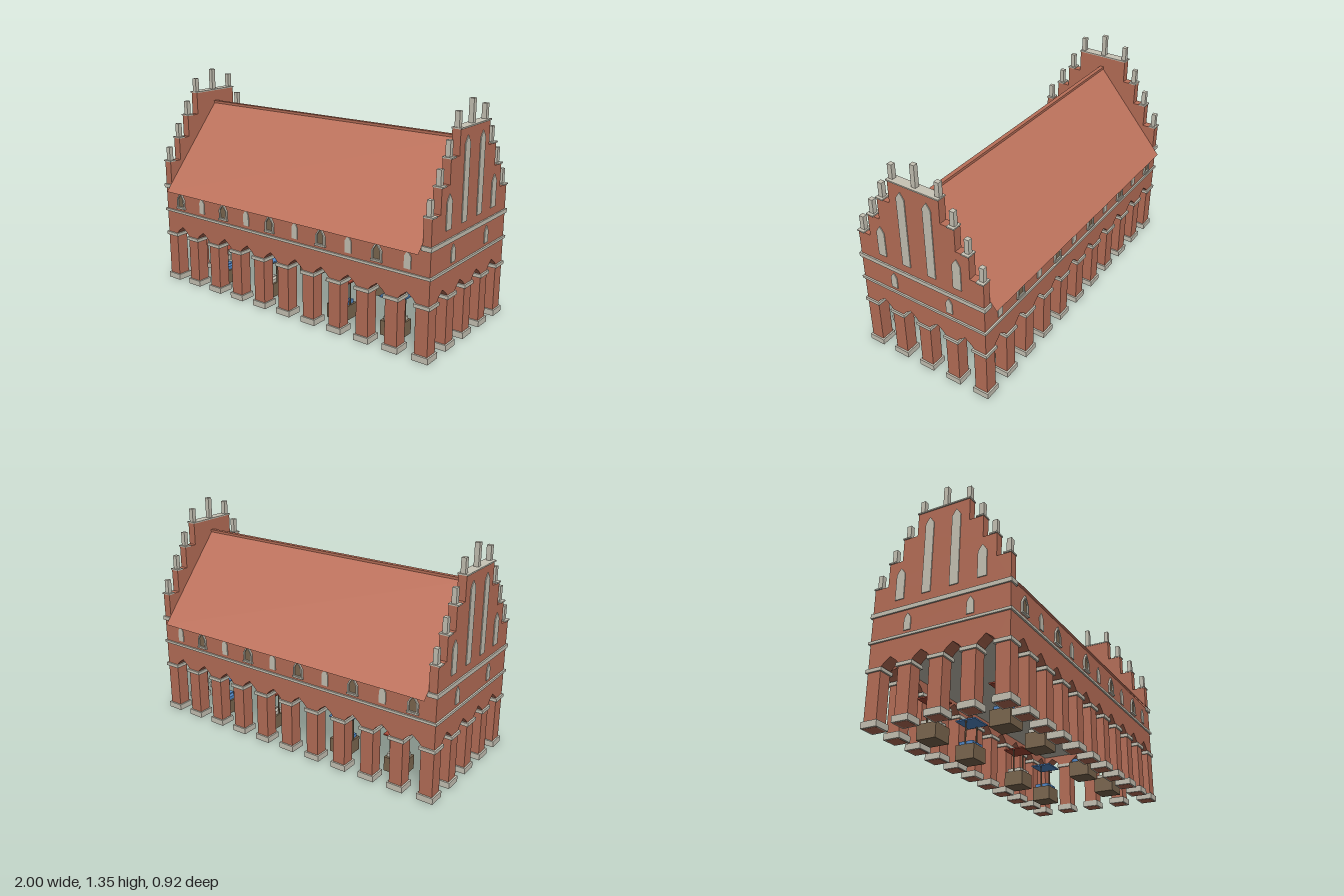
import * as THREE from 'three';

const mat = (name, color, side = THREE.FrontSide) => {
  const m = new THREE.MeshStandardMaterial({ color, side });
  m.name = name;
  return m;
};

export function createModel() {
  const brick = mat('brick', 0xb86f58);
  const tile = mat('roof tile', 0xc0745e, THREE.DoubleSide);
  const stone = mat('pale stone', 0xc8c4b6);
  const wood = mat('brown wood', 0x7d6850);
  const blue = mat('blue cloth', 0x5289c8);
  const red = mat('red cloth', 0xa84a38);

  const model = new THREE.Group();
  model.name = 'marketHall';

  const HX = 0.99, HZ = 0.42, BAY = 0.19;

  const add = (parent, name, geo, material, x = 0, y = 0, z = 0) => {
    const m = new THREE.Mesh(geo, material);
    m.name = name;
    m.position.set(x, y, z);
    parent.add(m);
    return m;
  };
  // box given by its bottom and top height
  const box = (parent, name, material, w, d, y0, y1, x = 0, z = 0) =>
    add(parent, name, new THREE.BoxGeometry(w, y1 - y0, d), material, x, (y0 + y1) / 2, z);
  const extrude = (shape, depth) =>
    new THREE.ExtrudeGeometry(shape, { depth, bevelEnabled: false });

  // pointed window outline
  const lancet = (w, y0, y1, Type = THREE.Shape) => {
    const tip = w * 0.75;
    return new Type([[-w / 2, y0], [w / 2, y0], [w / 2, y1 - tip], [w * 0.3, y1 - tip * 0.55],
      [0, y1], [-w * 0.3, y1 - tip * 0.55], [-w / 2, y1 - tip]].map(p => new THREE.Vector2(...p)));
  };
  const niche = (parent, x, w, y0, y1) =>
    add(parent, 'blindNiche', extrude(lancet(w, y0, y1), 0.005), stone, x, 0, 0);
  const framedWindow = (parent, x) => {
    const shape = lancet(0.064, 0.508, 0.612);
    shape.holes.push(lancet(0.044, 0.516, 0.598, THREE.Path));
    add(parent, 'windowFrame', extrude(shape, 0.011), stone, x);
    add(parent, 'windowPane', extrude(lancet(0.046, 0.515, 0.6), 0.004), wood, x);
    box(parent, 'windowSill', stone, 0.072, 0.014, 0.502, 0.512, x, 0.007);
  };

  // wall with a row of pointed arches cut from its lower edge
  const arcade = (half, bays) => {
    const pts = [[half, 0.48], [-half, 0.48], [-half, 0.315]];
    for (let i = 0; i < bays; i++) {
      const c = (i - (bays - 1) / 2) * BAY;
      pts.push([c - 0.055, 0.315], [c - 0.055, 0.326], [c - 0.038, 0.346], [c, 0.375],
        [c + 0.038, 0.346], [c + 0.055, 0.326], [c + 0.055, 0.315]);
    }
    pts.push([half, 0.315]);
    return extrude(new THREE.Shape(pts.map(p => new THREE.Vector2(...p))), 0.08);
  };

  // a group whose local +z points out of one facade
  const facade = (name, angle, dist) => {
    const g = new THREE.Group();
    g.name = name;
    g.rotation.y = angle;
    g.position.set(Math.sin(angle) * dist, 0, Math.cos(angle) * dist);
    model.add(g);
    return g;
  };

  // long facades: arcade, windows and roof slope
  const eave = { z: 0.462, y: 0.612 }, ridgeY = 1.14;
  for (const s of [1, -1]) {
    const g = facade(s > 0 ? 'frontFacade' : 'backFacade', s > 0 ? 0 : Math.PI, HZ);
    add(g, 'arcadeWall', arcade(HX, 10), brick, 0, 0, -0.08);
    for (let i = 0; i < 10; i++) {
      const x = s * (i - 4.5) * BAY;
      if (i % 2 === 0) framedWindow(g, x);
      else niche(g, x, 0.042, 0.505, 0.605);
    }
    const rise = ridgeY - eave.y;
    const slope = add(g, 'roofSlope', new THREE.PlaneGeometry(1.88, Math.hypot(rise, eave.z)),
      tile, 0, (ridgeY + eave.y) / 2, eave.z / 2 - HZ);
    slope.rotation.x = -Math.atan2(eave.z, rise);
  }
  box(model, 'roofRidge', brick, 1.88, 0.026, 1.13, 1.145);

  // end facades: arcade, stepped gable, niches and pinnacles
  const steps = [[0.42, 0.8], [0.335, 0.94], [0.252, 1.075], [0.165, 1.215]];
  for (const s of [1, -1]) {
    const g = facade(s > 0 ? 'leftGable' : 'rightGable', s * Math.PI / 2, HX);
    add(g, 'arcadeWall', arcade(HZ, 4), brick, 0, 0, -0.08);

    const right = [[0.42, 0.64]];
    steps.forEach(([z, y], i) => {
      right.push([z, y]);
      if (i < 3) right.push([steps[i + 1][0], y]);
    });
    const left = right.map(([z, y]) => [-z, y]).reverse();
    const outline = new THREE.Shape([...right, ...left].map(p => new THREE.Vector2(...p)));
    add(g, 'steppedGable', extrude(outline, 0.05), brick, 0, 0, -0.05);

    box(g, 'gableBand', stone, 0.86, 0.062, 0.625, 0.65, 0, -0.022);
    box(g, 'gableTopCap', stone, 0.338, 0.06, 1.213, 1.221, 0, -0.023);
    box(g, 'centrePinnacle', stone, 0.028, 0.028, 1.22, 1.352, 0, -0.025);
    for (const m of [1, -1]) {
      niche(g, m * 0.19, 0.042, 0.505, 0.605);
      niche(g, m * 0.085, 0.054, 0.7, 1.17);
      niche(g, m * 0.253, 0.054, 0.7, 0.893);
      steps.forEach(([z, y], i) => {
        const c = m * (i < 3 ? z - 0.02 : 0.149);
        if (i < 3) box(g, 'stepCap', stone, 0.048, 0.06, y - 0.001, y + 0.007, c, -0.023);
        box(g, 'pinnacle', stone, 0.028, 0.028, y, y + (i < 3 ? 0.093 : 0.09), c, -0.025);
      });
    }
  }

  // upper storey, ceiling over the arcade and stone course
  box(model, 'upperStorey', brick, HX * 2, HZ * 2, 0.475, 0.645);
  box(model, 'ceiling', stone, 1.84, 0.7, 0.39, 0.476);
  box(model, 'stringCourse', stone, 2.0, 0.86, 0.47, 0.485);

  // piers around the perimeter
  for (let i = 0; i <= 10; i++) {
    for (let j = 0; j <= 4; j++) {
      if (i % 10 && j % 4) continue;
      const x = (i - 5) * BAY, z = (j - 2) * BAY;
      box(model, 'pier', brick, 0.08, 0.08, 0, 0.32, x, z);
      box(model, 'pierBase', stone, 0.1, 0.1, 0.001, 0.037, x, z);
      box(model, 'pierCapital', stone, 0.1, 0.1, 0.305, 0.325, x, z);
    }
  }

  // market stalls with goods and flat awnings
  [-0.665, -0.285, 0.285, 0.665].forEach((x, i) => {
    [1, -1].forEach((s, row) => {
      const g = new THREE.Group();
      g.name = 'marketStall';
      g.position.set(x, 0, s * 0.22);
      model.add(g);
      box(g, 'counter', wood, 0.13, 0.12, 0, 0.088);
      for (const k of [-1, 0, 1])
        box(g, 'goods', (i + row) % 2 ? stone : blue, 0.03, 0.09, 0.088, 0.11, k * 0.038);
      box(g, 'awning', i % 2 ? blue : red, 0.14, 0.13, 0.23, 0.238);
      for (const k of [-1, 1])
        box(g, 'awningPost', wood, 0.007, 0.007, 0.08, 0.232, k * 0.061, 0);
    });
  });

  return model;
}
